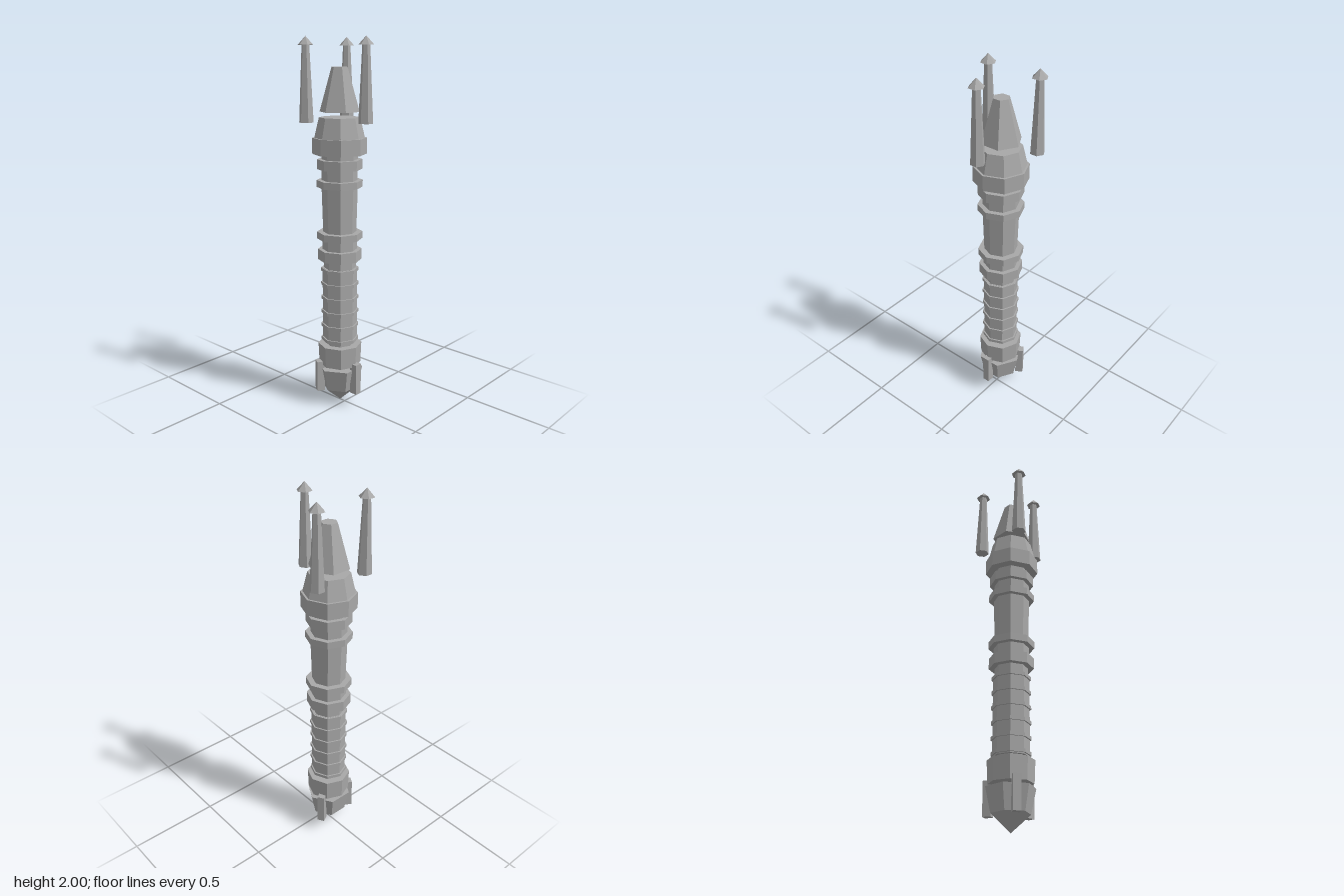
import * as THREE from 'three';

export function createModel() {
  const model = new THREE.Group();
  const grey = new THREE.MeshStandardMaterial({ color: 0xa8a8a8, flatShading: true });
  grey.name = 'steelGrey';

  // Faceted section between two heights, with a corner facing +z
  function section(name, y0, y1, r0, r1, sides = 8, parent = hilt) {
    const mesh = new THREE.Mesh(new THREE.CylinderGeometry(r1, r0, y1 - y0, sides), grey);
    mesh.name = name;
    mesh.position.y = (y0 + y1) / 2;
    parent.add(mesh);
    return mesh;
  }

  // The hilt axis sits off centre because of the three prongs
  const hilt = new THREE.Group();
  hilt.name = 'hilt';
  hilt.position.x = -0.035;
  model.add(hilt);

  // Pommel, six-sided, with a pointed end
  section('pommelPoint', 0, 0.09, 0, 0.1, 6);
  section('pommel', 0.09, 0.216, 0.1, 0.127, 6);

  // Lower block and neck
  section('lowerBlock', 0.233, 0.35, 0.115, 0.12);
  section('lowerNeck', 0.35, 0.37, 0.078, 0.078);

  // Grip with six thin ribs
  section('grip', 0.365, 0.79, 0.094, 0.094);
  for (let i = 0; i < 6; i++) {
    const y = 0.38 + i * 0.08;
    section('gripRib', y - 0.009, y + 0.009, 0.102, 0.102);
  }

  // Middle rings
  section('gripNeck', 0.79, 0.836, 0.087, 0.087);
  section('middleRing', 0.836, 0.894, 0.118, 0.118);
  section('middleNeck', 0.894, 0.952, 0.094, 0.094);
  section('middleRing', 0.952, 0.99, 0.122, 0.122);

  // Upper shaft and rings
  section('upperShaft', 0.99, 1.233, 0.089, 0.096);
  section('upperRing', 1.233, 1.27, 0.122, 0.122);
  section('upperNeck', 1.27, 1.328, 0.095, 0.095);
  section('upperRing', 1.328, 1.38, 0.119, 0.119);
  section('collarNeck', 1.38, 1.41, 0.095, 0.095);

  // Collar and floating core
  section('collar', 1.408, 1.492, 0.143, 0.143);
  section('collarTaper', 1.492, 1.597, 0.132, 0.107);
  section('core', 1.625, 1.85, 0.106, 0.042, 6);

  // Three prongs and three pommel fins around the axis
  for (let i = 0; i < 3; i++) {
    const angle = i * Math.PI * 2 / 3;
    const prong = new THREE.Group();
    prong.name = 'prong';
    prong.position.set(0.177 * Math.cos(angle), 0, 0.177 * Math.sin(angle));
    section('prongShaft', 1.575, 1.957, 0.038, 0.02, 6, prong);
    section('prongTip', 1.957, 2, 0.04, 0, 6, prong);
    hilt.add(prong);

    const fin = new THREE.Mesh(new THREE.BoxGeometry(0.043, 0.174, 0.04), grey);
    fin.name = 'pommelFin';
    fin.position.set(0.1165 * Math.cos(angle), 0.167, 0.1165 * Math.sin(angle));
    fin.rotation.y = -angle;
    hilt.add(fin);
  }
  return model;
}
